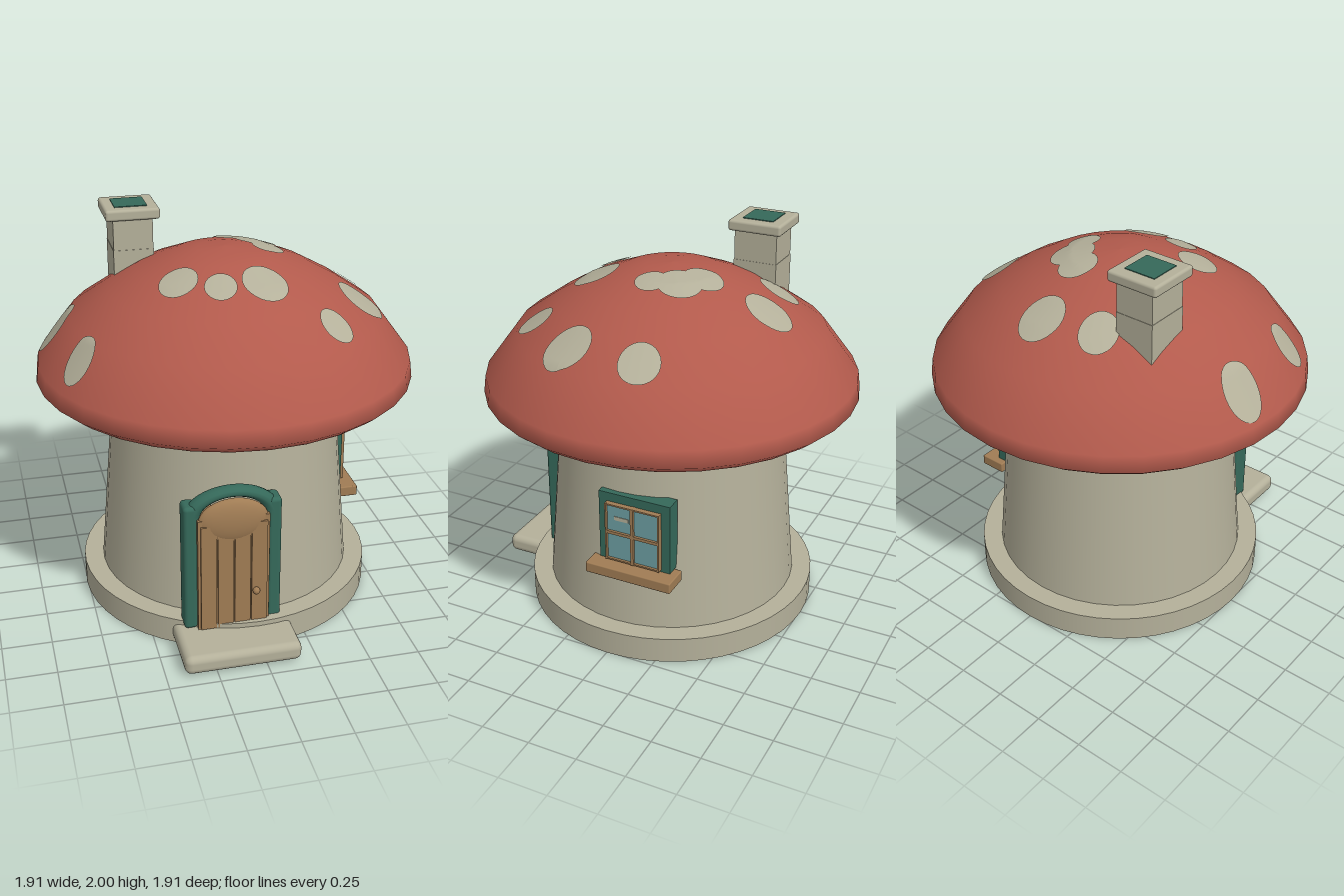
import * as THREE from 'three';
import { RoundedBoxGeometry } from 'three/addons/geometries/RoundedBoxGeometry.js';

const material = (name, color) => {
  const m = new THREE.MeshStandardMaterial({ color });
  m.name = name;
  return m;
};

export function createModel() {
  const cream = material('cream plaster', 0xb4b09a);
  const red = material('red cap', 0xb25a4c);
  const green = material('green trim', 0x35695a);
  const wood = material('wood', 0xa07c54);
  const glass = material('window glass', 0x6d9fa3);

  const model = new THREE.Group();
  model.name = 'mushroomHouse';

  const add = (parent, name, geometry, mat, x = 0, y = 0, z = 0) => {
    const mesh = new THREE.Mesh(geometry, mat);
    mesh.name = name;
    mesh.position.set(x, y, z);
    parent.add(mesh);
    return mesh;
  };
  // box given by its limits on each axis, with optional rounded edges
  const box = (parent, name, mat, [x0, x1], [y0, y1], [z0, z1], r = 0) => {
    const s = [x1 - x0, y1 - y0, z1 - z0];
    const g = r ? new RoundedBoxGeometry(...s, 3, r) : new THREE.BoxGeometry(...s);
    return add(parent, name, g, mat, (x0 + x1) / 2, (y0 + y1) / 2, (z0 + z1) / 2);
  };
  const group = (name) => {
    const g = new THREE.Group();
    g.name = name;
    model.add(g);
    return g;
  };

  // Base, walls and doorstep
  add(model, 'foundation', new THREE.CylinderGeometry(0.757, 0.757, 0.135, 48), cream, 0, 0.0675, 0);
  add(model, 'wall', new THREE.CylinderGeometry(0.577, 0.657, 0.935, 40), cream, 0, 0.5975, 0);
  box(model, 'doorstep', cream, [-0.41, 0.17], [0.012, 0.11], [0.58, 0.95], 0.035);

  // Cap: revolved profile from the underside up to the crown
  const profile = [
    [0, 1.157], [0.6, 1.157], [0.84, 1.156], [0.9, 1.157], [0.953, 1.2], [0.942, 1.285],
    [0.775, 1.51], [0.58, 1.645], [0.43, 1.73], [0.245, 1.805], [0.13, 1.828], [0, 1.837],
  ];
  add(model, 'cap',
    new THREE.LatheGeometry(profile.map(([r, y]) => new THREE.Vector2(r, y)), 32), red);
  const slope = profile.slice(5);
  const capHeight = (r) => {
    const i = Math.max(1, slope.findIndex(([pr]) => pr <= r));
    const [r0, y0] = slope[i - 1], [r1, y1] = slope[i];
    return y0 + ((r - r0) / (r1 - r0)) * (y1 - y0);
  };

  // Spots: thin patches draped over the cap [x, z, half width, half depth]
  const spots = group('spots');
  [
    [-0.25, -0.47, 0.093, 0.1], [0.04, -0.53, 0.11, 0.115], [0.09, -0.21, 0.094, 0.1],
    [0.19, -0.13, 0.108, 0.112], [0.225, 0, 0.078, 0.083], [0.66, -0.155, 0.094, 0.102],
    [0.64, 0.23, 0.11, 0.118], [0.415, 0.54, 0.078, 0.089], [0.115, 0.36, 0.11, 0.115],
    [-0.1, 0.365, 0.078, 0.085], [-0.28, 0.255, 0.094, 0.102], [-0.77, 0.325, 0.078, 0.088],
    [-0.825, -0.145, 0.094, 0.102],
  ].forEach(([x, z, rx, rz]) => {
    const g = new THREE.RingGeometry(0.001, 1, 28, 5).rotateX(-Math.PI / 2).scale(rx, 1, rz).translate(x, 0, z);
    const p = g.attributes.position;
    for (let i = 0; i < p.count; i++) {
      p.setY(i, capHeight(Math.hypot(p.getX(i), p.getZ(i))) + 0.007);
    }
    g.computeVertexNormals();
    add(spots, 'spot', g, cream);
  });

  // Chimney
  const chimney = group('chimney');
  box(chimney, 'chimneyStack', cream, [-0.515, -0.315], [1.4, 1.95], [-0.42, -0.195]);
  box(chimney, 'chimneyBand', cream, [-0.517, -0.313], [1.5, 1.785], [-0.422, -0.193]);
  box(chimney, 'chimneyRim', cream, [-0.553, -0.28], [1.94, 1.996], [-0.45, -0.17], 0.014);
  box(chimney, 'chimneyFlue', green, [-0.5, -0.335], [1.98, 2], [-0.39, -0.228]);

  // Door with posts, arch, planks and rounded head
  const door = group('door');
  const dx = -0.12;
  for (const side of [-1, 1]) {
    const x = dx + side * 0.209;
    box(door, 'doorPost', green, [x - 0.034, x + 0.034], [0.11, 0.79], [0.6, 0.706], 0.02);
  }
  const arch = add(door, 'doorArch', new THREE.TorusGeometry(0.2, 0.042, 12, 28, Math.PI), green, dx, 0.71, 0.665);
  arch.scale.y = 0.645;
  box(door, 'doorPanel', wood, [dx - 0.178, dx + 0.178], [0.11, 0.72], [0.56, 0.72]);
  for (let i = 0; i < 4; i++) {
    const x = dx + (i - 1.5) * 0.084;
    box(door, 'doorPlank', wood, [x - 0.039, x + 0.039], [0.115, 0.69], [0.71, 0.732]);
  }
  const head = add(door, 'doorHead', new THREE.SphereGeometry(1, 28, 16), wood, dx, 0.696, 0.7);
  head.scale.set(0.175, 0.12, 0.045);
  add(door, 'doorKnob', new THREE.SphereGeometry(0.019, 14, 10), wood, -0.012, 0.31, 0.743);

  // Window on the left wall
  const win = group('window');
  const zc = -0.098;
  const frame = new THREE.Shape([[-0.193, 0.475], [0.193, 0.475], [0.193, 0.85], [-0.193, 0.85]]
    .map(([a, b]) => new THREE.Vector2(a, b)));
  frame.holes.push(new THREE.Path([[-0.146, 0.49], [-0.146, 0.803], [0.146, 0.803], [0.146, 0.49]]
    .map(([a, b]) => new THREE.Vector2(a, b))));
  const frameGeometry = new THREE.ExtrudeGeometry(frame, { depth: 0.085, bevelEnabled: false }).rotateY(Math.PI / 2);
  add(win, 'windowFrame', frameGeometry, green, 0.54, 0, zc);
  box(win, 'windowPane', glass, [0.55, 0.64], [0.49, 0.803], [zc - 0.146, zc + 0.146]);
  for (const z of [-0.143, 0, 0.143]) {
    const w = z ? 0.004 : 0.008;
    box(win, 'uprightBar', wood, [0.61, 0.655], [0.488, 0.805], [zc + z - w, zc + z + w]);
  }
  for (const y of [0.493, 0.645, 0.8]) {
    const w = y === 0.645 ? 0.008 : 0.004;
    box(win, 'crossBar', wood, [0.61, 0.653], [y - w, y + w], [zc - 0.146, zc + 0.146]);
  }
  box(win, 'paneGlint', cream, [0.639, 0.643], [0.715, 0.735], [-0.075, 0.003]);
  box(win, 'windowSill', wood, [0.57, 0.71], [0.42, 0.476], [zc - 0.232, zc + 0.232], 0.006);

  return model;
}
